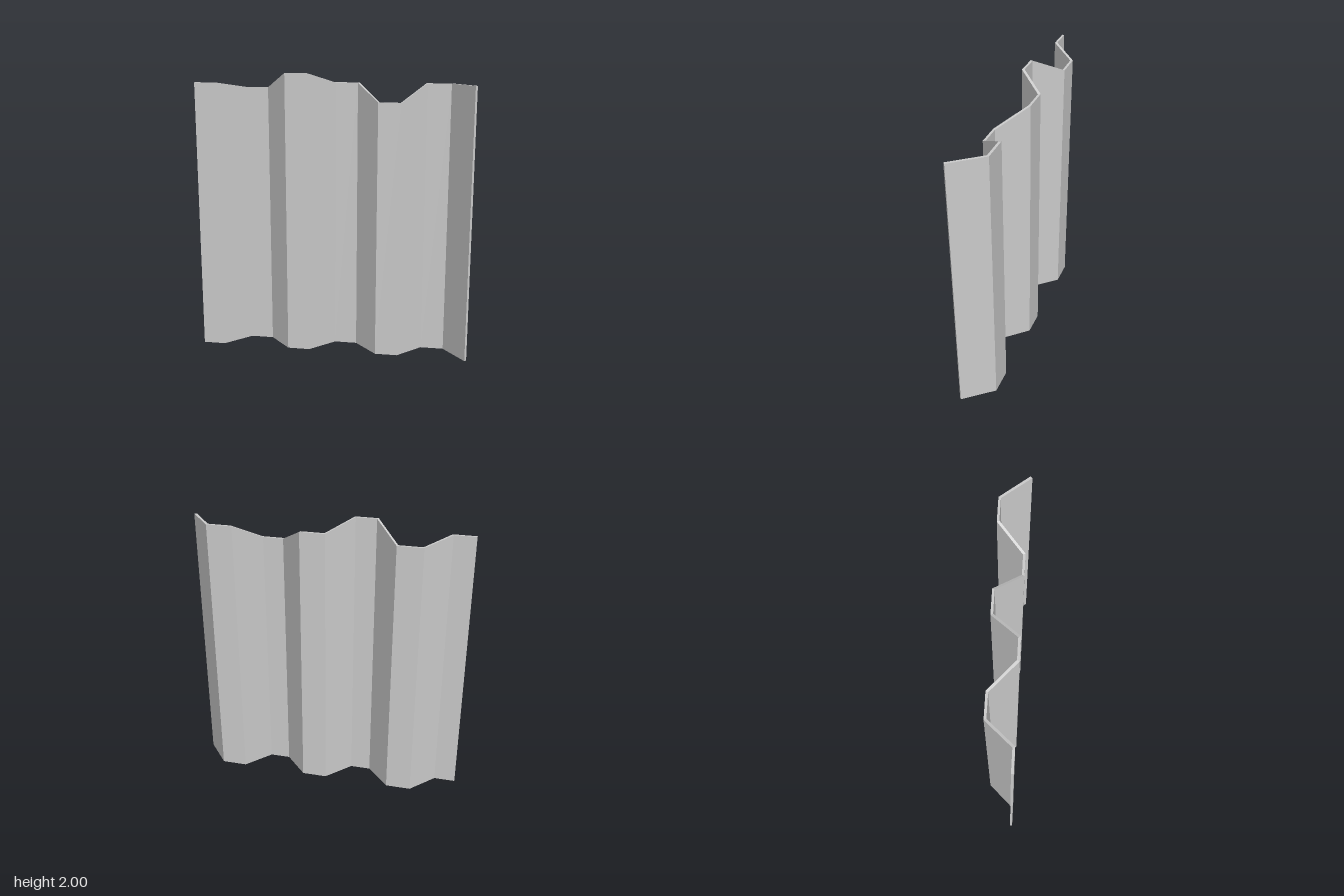
import * as THREE from 'three';

// Folds along the sheet: [front x, front z, back x, back z, top height]
function sheetFolds() {
  const xs = [-0.973, -0.815, -0.651, -0.49, -0.329, -0.171, -0.007, 0.152, 0.315, 0.474, 0.632, 0.796];
  const tops = [1.93, 1.93, 1.89, 1.89, 2, 2, 1.93, 1.93, 1.81, 1.81, 1.93, 1.93];
  const folds = xs.map((x, i) => {
    const ridge = i % 4 < 2; // pairs alternate between front ridge and back valley
    const shift = i === 0 ? 0 : [0.008, -0.008, -0.008, 0.008][i % 4];
    return [x, ridge ? 0.086 : -0.089, x + shift, ridge ? 0.07 : -0.105, tops[i]];
  });
  folds.push([0.955, 0.105, 0.968, 0.093, 1.93]); // free end of the last slope
  return folds;
}

function createModel() {
  const group = new THREE.Group();
  group.name = 'corrugatedPanel';

  const pos = [];
  const quad = (a, b, c, d) => pos.push(...a, ...b, ...c, ...a, ...c, ...d);

  // Four corners of the sheet's thickness at every fold
  const rings = sheetFolds().map(([fx, fz, bx, bz, h]) => ({
    f0: [fx, 0, fz], f1: [fx, h, fz], b0: [bx, 0, bz], b1: [bx, h, bz],
  }));

  for (let i = 0; i < rings.length - 1; i++) {
    const l = rings[i], r = rings[i + 1];
    quad(l.f0, r.f0, r.f1, l.f1); // front
    quad(r.b0, l.b0, l.b1, r.b1); // back
    quad(l.f1, r.f1, r.b1, l.b1); // top edge
    quad(l.b0, r.b0, r.f0, l.f0); // bottom edge
  }
  // Side edges
  const first = rings[0], last = rings[rings.length - 1];
  quad(first.b0, first.f0, first.f1, first.b1);
  quad(last.f0, last.b0, last.b1, last.f1);

  const geometry = new THREE.BufferGeometry();
  geometry.setAttribute('position', new THREE.Float32BufferAttribute(pos, 3));
  geometry.computeVertexNormals();

  const sheet = new THREE.Mesh(
    geometry,
    new THREE.MeshStandardMaterial({ color: 0xcccccc, flatShading: true })
  );
  sheet.name = 'corrugatedSheet';
  group.add(sheet);
  return group;
}

export { createModel };
